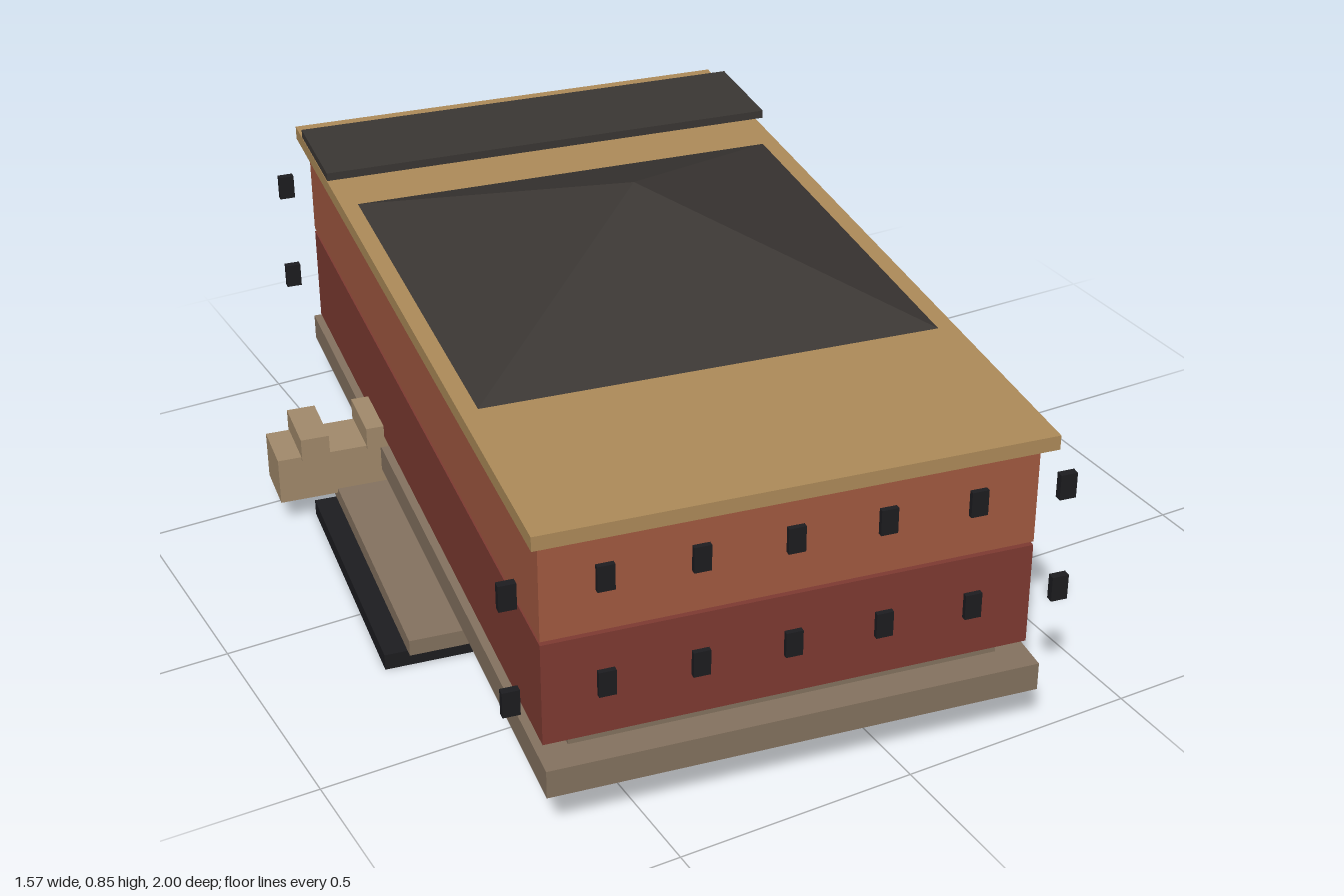
import * as THREE from 'three';

const mat = (color) => new THREE.MeshStandardMaterial({ color, flatShading: true });

export function createModel() {
  const model = new THREE.Group();
  model.name = 'building';

  // Everything is laid out square, then turned slightly on the plot
  const house = new THREE.Group();
  house.name = 'turnedBuilding';
  house.position.x = -0.055;
  house.rotation.y = -0.159;
  model.add(house);

  const black = mat(0x1d1d20);
  const slate = mat(0x3b3734);
  const stone = mat(0x857360);
  const paleStone = mat(0xa38b6c);
  const sand = mat(0xaf8c5a);
  const lowerBrick = mat(0x7f3b32);
  const upperBrick = mat(0xa35a41);

  // Box given by its width, depth, bottom and top
  function block(name, material, w, d, y0, y1, x = 0, z = 0, parent = house) {
    const mesh = new THREE.Mesh(new THREE.BoxGeometry(w, y1 - y0, d), material);
    mesh.name = name;
    mesh.position.set(x, (y0 + y1) / 2, z);
    parent.add(mesh);
    return mesh;
  }

  // Slabs below the building
  block('groundSlab', black, 1.288, 0.624, 0, 0.035);
  block('terraceSlab', stone, 1.192, 0.66, 0.035, 0.07);

  // Base, plinth and the two storeys with a thin gap between
  block('base', stone, 0.99, 1.87, 0.1, 0.16);
  block('plinth', stone, 0.866, 1.74, 0.16, 0.186);
  block('lowerStorey', lowerBrick, 0.974, 1.78, 0.186, 0.405);
  block('upperStorey', upperBrick, 0.974, 1.78, 0.413, 0.63);

  // Eaves slab, hipped roof and raised flat roof at the back
  block('eaves', sand, 1.015, 1.85, 0.63, 0.66);
  const roof = new THREE.Mesh(new THREE.ConeGeometry(0.942 / Math.SQRT2, 0.185, 4), slate);
  roof.name = 'hippedRoof';
  roof.geometry.rotateY(Math.PI / 4);
  roof.position.y = 0.66 + 0.185 / 2;
  house.add(roof);
  block('flatRoof', slate, 1.022, 0.25, 0.682, 0.7, -0.005, -0.687);

  // Cross wall running through the base, with merlons on its free ends
  const wall = new THREE.Group();
  wall.name = 'crossWall';
  house.add(wall);
  block('wallBody', paleStone, 1.536, 0.125, 0.06, 0.166, 0.045, -0.349, wall);
  for (const x of [-0.69, -0.545, 0.475, 0.62]) {
    block('merlon', paleStone, 0.062, 0.14, 0.16, 0.212, x + 0.05, -0.349, wall);
  }

  // Windows: seven per row on front, back and one long side
  const windows = new THREE.Group();
  windows.name = 'windows';
  house.add(windows);
  for (const y of [0.3, 0.528]) {
    for (let i = -3; i <= 3; i++) {
      for (const z of [-0.893, 0.893]) {
        block('window', black, 0.034, 0.016, y - 0.027, y + 0.027, i * 0.182, z, windows);
      }
      block('sideWindow', black, 0.016, 0.034, y - 0.027, y + 0.027, 0.49, i * 0.152, windows);
    }
  }
  return model;
}
